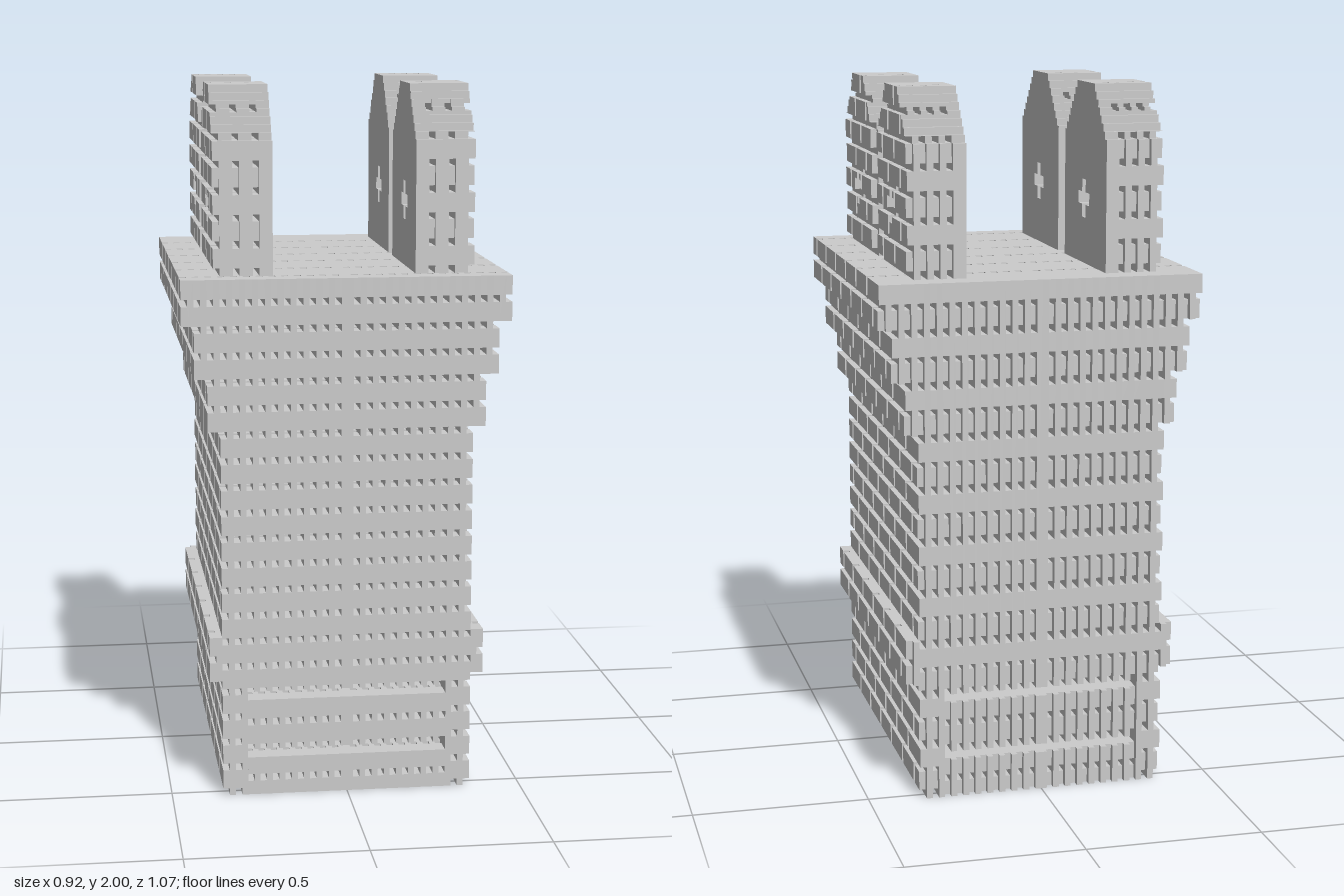
import * as THREE from 'three';
import { mergeGeometries } from 'three/addons/utils/BufferGeometryUtils.js';

// Every layer is a set of [z0, z1, y0, y1] rectangles given a thickness in x.
const COURSE = 0.074, MORTAR = 0.02, GROOVE = 0.0185, PITCH = 0.0355, BRICK = 0.166;
const TOP = 1.48, DEPTH = 0.535;
const material = new THREE.MeshStandardMaterial({ color: 0xcccccc, flatShading: true });

// Remove one rectangle from a list of rectangles
function cut(rects, [hz0, hz1, hy0, hy1]) {
  return rects.flatMap(([z0, z1, y0, y1]) => {
    if (hz0 >= z1 || hz1 <= z0 || hy0 >= y1 || hy1 <= y0) return [[z0, z1, y0, y1]];
    const a = Math.max(y0, hy0), b = Math.min(y1, hy1);
    return [[z0, z1, y0, a], [z0, z1, b, y1], [z0, hz0, a, b], [hz1, z1, a, b]]
      .filter((r) => r[1] - r[0] > 1e-4 && r[3] - r[2] > 1e-4);
  });
}

// One row of bricks, split by vertical joints at phase + n * BRICK
function bricks(z0, z1, y0, y1, phase) {
  let row = [[z0, z1, y0, y1]];
  for (let n = -8; n <= 8; n++) {
    const z = phase + n * BRICK;
    row = cut(row, [z - MORTAR / 2, z + MORTAR / 2, y0, y1]);
  }
  return row;
}

// Thicken rectangles between x0 and x1 on the chosen side
function boxes(rects, x0, x1, side) {
  return rects.map(([z0, z1, y0, y1]) =>
    new THREE.BoxGeometry(x1 - x0, y1 - y0, z1 - z0)
      .translate(side * (x0 + x1) / 2, (y0 + y1) / 2, (z0 + z1) / 2));
}

function part(name, geometries) {
  const mesh = new THREE.Mesh(mergeGeometries(geometries), material);
  mesh.name = name;
  return mesh;
}

// Body row: odd rows shift half a brick and leave a slot at the back edge
function bodyRow(k, y0, y1) {
  const odd = k % 2;
  return bricks(odd ? -DEPTH + MORTAR : -DEPTH, DEPTH, y0, y1, odd ? 0.385 : 0.302)
    .filter((r) => odd || r[1] > -DEPTH + 0.03);
}

function bodyLayer(i) {
  const wall = (y0, y1) => [[-DEPTH, DEPTH, y0, y1]];
  const rows = i < 8 ? 16 : i < 10 ? 20 : [6, 4, 2][i - 10];
  let backing = wall(i < 10 ? 0 : TOP - rows * COURSE + MORTAR, TOP);
  const faces = [];
  for (let k = 0; k < rows; k++) {
    const y = TOP - k * COURSE;
    // keep a solid edge on the even rows
    if (k % 2 === 0) faces.push([-DEPTH, -DEPTH + 0.03, y - COURSE + MORTAR, y]);
    faces.push(...bodyRow(k, y - COURSE + MORTAR, y));
  }
  if (i < 8) {
    // inner foot rows, with two slots running front to back
    [[0, 0.04], [0.06, 0.11], [0.15, 0.205], [0.225, 0.28]]
      .forEach(([a, b], n) => faces.push(...bodyRow(n + 1, a, b)));
    for (const y of [0.11, 0.28]) backing = cut(backing, [-DEPTH, DEPTH, y, y + 0.025]);
  }
  if (i === 10) {
    // projecting ledge near the foot
    backing.push(...wall(0.338, 0.466));
    faces.push(...bodyRow(0, 0.412, 0.466), ...bodyRow(1, 0.338, 0.392));
  }
  return { backing, faces };
}

// Stepped shoulders and cross-shaped window of a tower
function trimTower(rects, zc) {
  const half = 0.213, z = zc + 0.012, y = 1.667;
  for (let j = 0; j < 7; j++) {
    const w = half - 0.0176 * (j + 1), base = 1.852 + 0.0211 * j;
    rects = cut(rects, [zc - 1, zc - w, base, 2.1]);
    rects = cut(rects, [zc + w, zc + 1, base, 2.1]);
  }
  rects = cut(rects, [z - 0.055, z + 0.055, y - 0.018, y + 0.018]);
  return cut(rects, [z - 0.018, z + 0.018, y - 0.055, y + 0.055]);
}

function tower(name, side, zc, layers) {
  const z0 = zc - 0.213, z1 = zc + 0.213;
  const backing = trimTower([[z0, z1, TOP, 2]], zc);
  let faces = [];
  for (let k = 0; k < 7; k++) {
    const y = 2 - k * COURSE;
    faces.push(...bricks(z0, z1, y - COURSE + MORTAR, y, zc - 0.04 + (k % 2) * BRICK / 2));
  }
  faces = trimTower(faces.filter((r) => r[1] - r[0] > 0.01), zc);
  const geometries = [];
  let x = 0.2;
  for (const thickness of layers) {
    geometries.push(...boxes(backing, x, x + thickness, side));
    x += thickness;
    geometries.push(...boxes(faces, x, x + GROOVE, side));
    x += GROOVE;
  }
  return part(name, geometries);
}

export function createModel() {
  const model = new THREE.Group();
  model.name = 'brickTower';

  // Main block, layered outwards from the middle on both sides
  for (const side of [1, -1]) {
    const geometries = [];
    for (let i = 0; i < 13; i++) {
      const { backing, faces } = bodyLayer(i);
      const x = i * PITCH, mid = x + PITCH - GROOVE;
      geometries.push(...boxes(backing, x, mid, side), ...boxes(faces, mid, x + PITCH, side));
    }
    model.add(part(side > 0 ? 'leftBody' : 'rightBody', geometries));
  }

  // Four corner towers: thick layers at the front, thinner at the back
  for (const side of [1, -1]) {
    const label = side > 0 ? 'Left' : 'Right';
    model.add(tower('front' + label + 'Turret', side, 0.25, [0.037, 0.037, 0.037]));
    model.add(tower('back' + label + 'Turret', side, -0.25, [0.037, 0.0185, 0.0185, 0.0185]));
  }
  return model;
}
